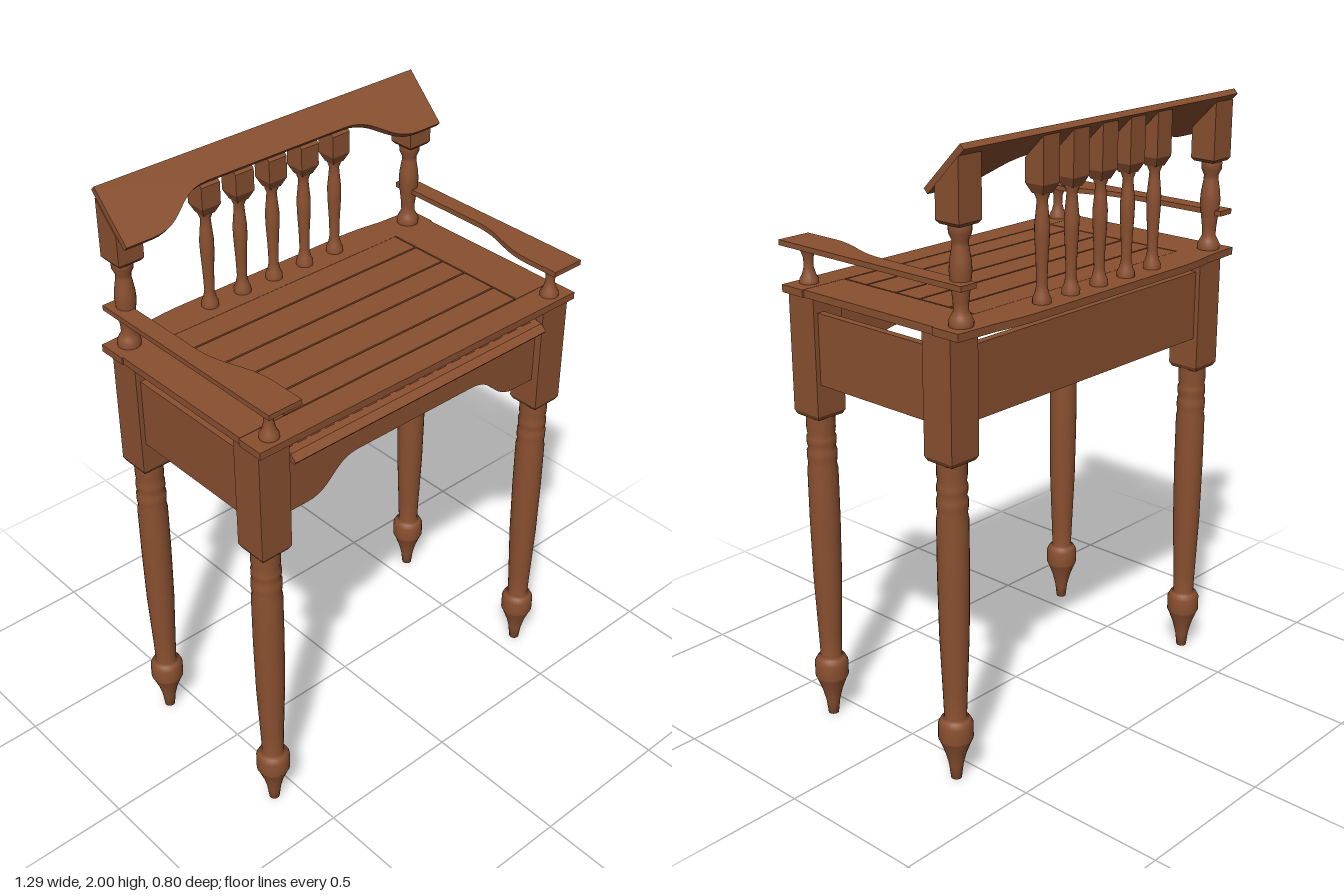
import * as THREE from 'three';

const wood = new THREE.MeshStandardMaterial({ color: 0x8a5030 });
wood.name = 'brown wood';

export function createModel() {
  const model = new THREE.Group();
  model.name = 'bench';

  const add = (name, geometry, x = 0, y = 0, z = 0) => {
    const mesh = new THREE.Mesh(geometry, wood);
    mesh.name = name;
    mesh.position.set(x, y, z);
    model.add(mesh);
    return mesh;
  };
  // Box given by its limits
  const box = (name, x0, x1, y0, y1, z0, z1) =>
    add(name, new THREE.BoxGeometry(x1 - x0, y1 - y0, z1 - z0), (x0 + x1) / 2, (y0 + y1) / 2, (z0 + z1) / 2);
  // Turned part from [radius, height] pairs
  const turned = (name, profile, x, z, segments = 24) =>
    add(name, new THREE.LatheGeometry(profile.map(([r, y]) => new THREE.Vector2(r, y)), segments), x, 0, z);
  const extrude = (shape, depth) =>
    new THREE.ExtrudeGeometry(shape, { depth, bevelEnabled: false, curveSegments: 12 });
  // Flat board drawn in x and z, with its top at the given height
  const slab = (name, shape, top, thickness) => {
    add(name, extrude(shape, thickness).rotateX(Math.PI / 2), 0, top, 0);
  };
  // Profile drawn in z and y, extruded along x
  const alongX = (name, points, width, x) => {
    const shape = new THREE.Shape(points.map(([z, y]) => new THREE.Vector2(-z, y)));
    add(name, extrude(shape, width).translate(0, 0, -width / 2).rotateY(Math.PI / 2), x);
  };
  // Board whose lower edge rises in the middle by two S-curves
  const archedBoard = (half, top, rise, outer, inner) => {
    const s = new THREE.Shape();
    const mid = (outer + inner) / 2;
    s.moveTo(-half, top);
    s.lineTo(-half, 0);
    s.lineTo(-outer, 0);
    s.bezierCurveTo(-mid, 0, -mid, rise, -inner, rise);
    s.lineTo(inner, rise);
    s.bezierCurveTo(mid, rise, mid, 0, outer, 0);
    s.lineTo(half, 0);
    s.lineTo(half, top);
    s.closePath();
    return s;
  };

  // Legs: turned shaft and square block
  const legProfile = [
    [0, 0], [0.017, 0], [0.023, 0.05], [0.033, 0.09], [0.05, 0.135], [0.055, 0.145], [0.055, 0.195],
    [0.046, 0.212], [0.035, 0.218], [0.038, 0.3], [0.046, 0.5], [0.049, 0.7], [0.049, 0.88],
    [0.045, 0.9], [0.048, 0.92], [0.048, 0.945], [0.043, 0.955], [0.047, 0.97], [0.047, 0.99],
    [0.043, 1.0], [0.046, 1.02], [0.046, 1.075],
  ];
  for (const x of [-0.58, 0.58]) {
    for (const z of [-0.28, 0.295]) {
      turned('leg', legProfile, x, z);
      box('legBlock', x - 0.056, x + 0.056, 1.078, 1.455, z - 0.056, z + 0.056);
      const chamfer = new THREE.CylinderGeometry(0.079, 0.069, 0.014, 4).rotateY(Math.PI / 4).toNonIndexed();
      chamfer.computeVertexNormals();
      add('legBlockChamfer', chamfer, x, 1.071, z);
    }
  }

  // Aprons between the legs
  add('frontApron', extrude(archedBoard(0.53, 0.23, 0.095, 0.44, 0.24), 0.025), 0, 1.18, 0.3);
  box('backApron', -0.53, 0.53, 1.18, 1.41, -0.32, -0.295);
  for (const s of [-1, 1]) {
    box('sideApron', s * 0.6075 - 0.0125, s * 0.6075 + 0.0125, 1.18, 1.41, -0.23, 0.245);
  }
  alongX('frontMoulding', [[0.32, 1.378], [0.365, 1.378], [0.371, 1.386], [0.35, 1.406], [0.32, 1.41]], 1.04, 0);

  // Seat: border boards around narrow slats with open gaps
  const bottom = 1.456, top = 1.48;
  box('seatFrontBoard', -0.645, 0.645, bottom, top, 0.277, 0.37);
  for (const s of [-1, 1]) {
    box('seatSideBoard', s * 0.559 - 0.081, s * 0.559 + 0.081, bottom, top, -0.275, 0.275);
  }
  const backBoard = new THREE.Shape();
  backBoard.moveTo(-0.645, -0.275);
  backBoard.lineTo(-0.645, -0.376);
  backBoard.lineTo(-0.5, -0.384);
  backBoard.quadraticCurveTo(-0.42, -0.399, -0.33, -0.4);
  backBoard.lineTo(0.33, -0.4);
  backBoard.quadraticCurveTo(0.42, -0.399, 0.5, -0.384);
  backBoard.lineTo(0.645, -0.376);
  backBoard.lineTo(0.645, -0.275);
  slab('seatBackBoard', backBoard, top, top - bottom);
  const cuts = [-0.277, -0.175, -0.05, 0.05, 0.178, 0.275];
  for (let i = 0; i < 5; i++) {
    box('seatSlat', -0.473, 0.473, bottom, top, cuts[i] + 0.003, cuts[i + 1] - 0.003);
  }

  // Sloping top board of the back
  const rail = add('backTopBoard', extrude(archedBoard(0.622, 0.198, 0.098, 0.53, 0.27), 0.02), 0, 1.846, -0.244);
  rail.rotation.x = -Math.PI / 4;
  const under = z => 1.602 - z; // height of the board's underside
  // Square head cut to the slope of the top board
  const head = (name, x, z, half, y) =>
    alongX(name, [[z + half, y], [z + half, under(z + half)], [z - half, under(z - half)], [z - half, y]], half * 2, x);
  const taper = (name, x, z, half, y0, y1, low) => {
    const g = new THREE.CylinderGeometry(half * Math.SQRT2, low * Math.SQRT2, y1 - y0, 4).rotateY(Math.PI / 4).toNonIndexed();
    g.computeVertexNormals();
    add(name, g, x, (y0 + y1) / 2, z);
  };

  // Corner posts of the back, armrests and their supports
  const postProfile = [
    [0.036, 1.48], [0.037, 1.495], [0.03, 1.51], [0.022, 1.525], [0.023, 1.55], [0.029, 1.6],
    [0.033, 1.64], [0.031, 1.67], [0.024, 1.71], [0.024, 1.725], [0.033, 1.745], [0.034, 1.765], [0.03, 1.78],
  ];
  const supportProfile = [
    [0.03, 1.48], [0.03, 1.492], [0.022, 1.505], [0.015, 1.53], [0.016, 1.56], [0.024, 1.582], [0.026, 1.596],
  ];
  for (const s of [-1, 1]) {
    turned('backPost', postProfile, s * 0.58, -0.325);
    head('backPostHead', s * 0.58, -0.32, 0.045, 1.78);
    taper('backPostHeadChamfer', s * 0.58, -0.32, 0.045, 1.77, 1.78, 0.037);
    turned('armSupport', supportProfile, s * 0.575, 0.325, 18);

    const arm = new THREE.Shape();
    arm.moveTo(s * 0.63, -0.375);
    arm.lineTo(s * 0.63, 0.395);
    arm.lineTo(s * 0.512, 0.395);
    arm.lineTo(s * 0.512, 0.27);
    arm.bezierCurveTo(s * 0.515, 0.16, s * 0.568, 0.12, s * 0.57, 0);
    arm.lineTo(s * 0.57, -0.375);
    slab('armrest', arm, 1.612, 0.017);
  }

  // Back spindles
  const spindleProfile = [
    [0.028, 1.48], [0.028, 1.495], [0.021, 1.51], [0.016, 1.535], [0.018, 1.6],
    [0.022, 1.67], [0.023, 1.71], [0.018, 1.76], [0.016, 1.785], [0.022, 1.8], [0.022, 1.81],
  ];
  for (let i = -2; i <= 2; i++) {
    const x = i * 0.13, z = -0.34;
    turned('spindle', spindleProfile, x, z, 18);
    taper('spindleTaper', x, z, 0.035, 1.805, 1.835, 0.021);
    head('spindleHead', x, z, 0.035, 1.835);
  }

  return model;
}
